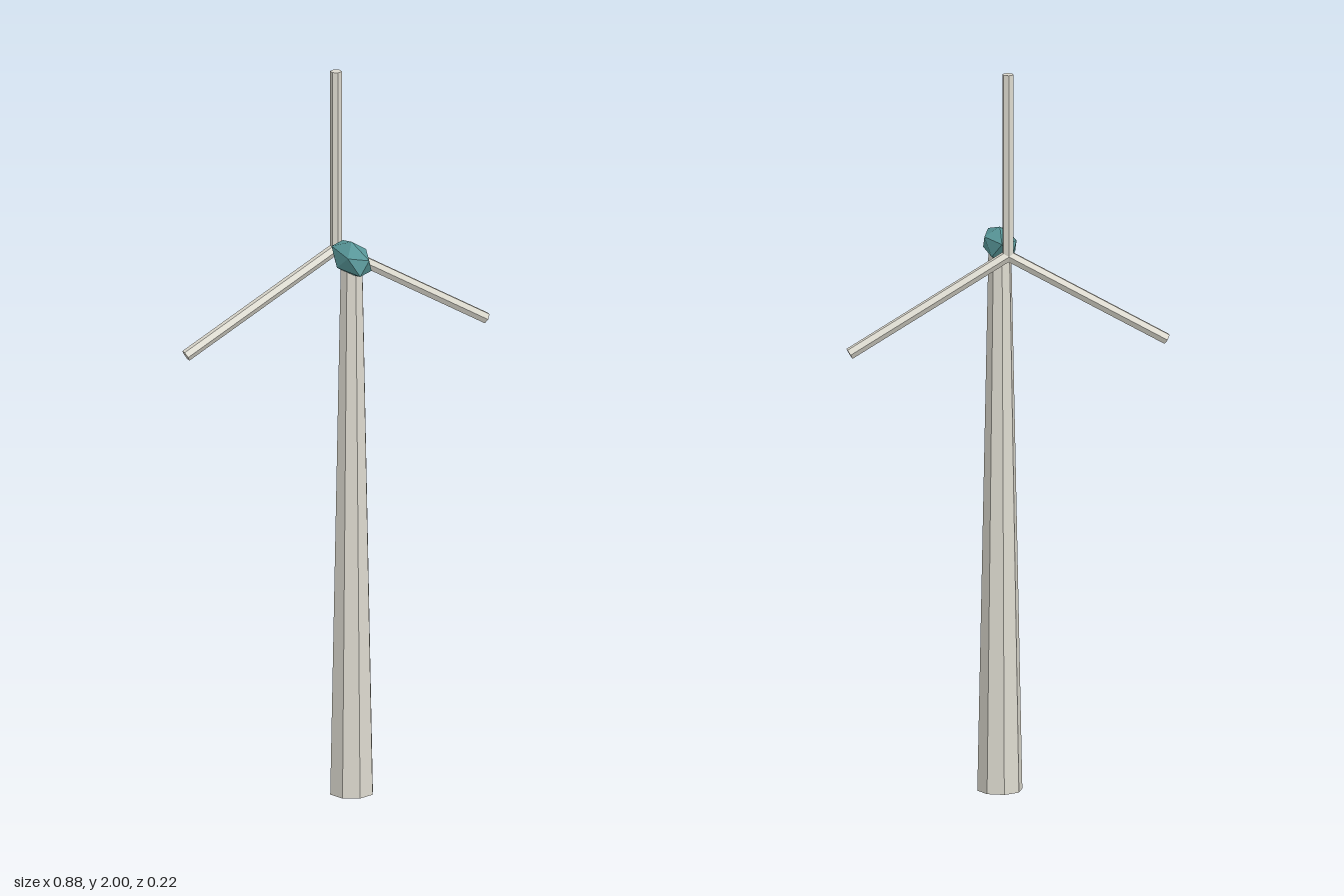
import * as THREE from 'three';
import { ConvexGeometry } from 'three/addons/geometries/ConvexGeometry.js';

const AXIS_Z = 0.015; // tower centre line
const HUB_Y = 1.5;

export function createModel() {
  const model = new THREE.Group();
  model.name = 'windTurbine';
  const pale = new THREE.MeshStandardMaterial({ color: 0xdddacf, flatShading: true });
  const teal = new THREE.MeshStandardMaterial({ color: 0x5a9a9c, flatShading: true });

  // Tapered octagonal tower
  const tower = new THREE.Mesh(new THREE.CylinderGeometry(0.031, 0.0615, HUB_Y, 8), pale);
  tower.name = 'tower';
  tower.position.set(0, HUB_Y / 2, AXIS_Z);
  model.add(tower);

  // Nacelle: a stretched icosahedron standing on a corner
  const ring = 2 / Math.sqrt(5), level = 1 / Math.sqrt(5);
  const corners = [];
  for (const s of [1, -1]) {
    corners.push(new THREE.Vector3(0, s, 0));
    for (let i = 0; i < 5; i++) {
      const a = (i * 2 * Math.PI) / 5;
      corners.push(new THREE.Vector3(s * ring * Math.cos(a), s * level, s * ring * Math.sin(a)));
    }
  }
  const nacelle = new THREE.Mesh(new ConvexGeometry(corners), teal);
  nacelle.name = 'nacelle';
  nacelle.scale.set(0.047, 0.047, 0.112);
  nacelle.position.set(0, 1.506, AXIS_Z);
  model.add(nacelle);

  // Rotor: three hexagonal rods meeting at the hub
  const rotor = new THREE.Group();
  rotor.name = 'rotor';
  rotor.position.set(0, HUB_Y, -0.097);
  const bladeGeometry = new THREE.CylinderGeometry(0.016, 0.016, 0.5, 6).translate(0, 0.25, 0);
  for (let i = 0; i < 3; i++) {
    const blade = new THREE.Mesh(bladeGeometry, pale);
    blade.name = `blade${i + 1}`;
    blade.rotation.z = (i * 2 * Math.PI) / 3;
    rotor.add(blade);
  }
  model.add(rotor);

  return model;
}
